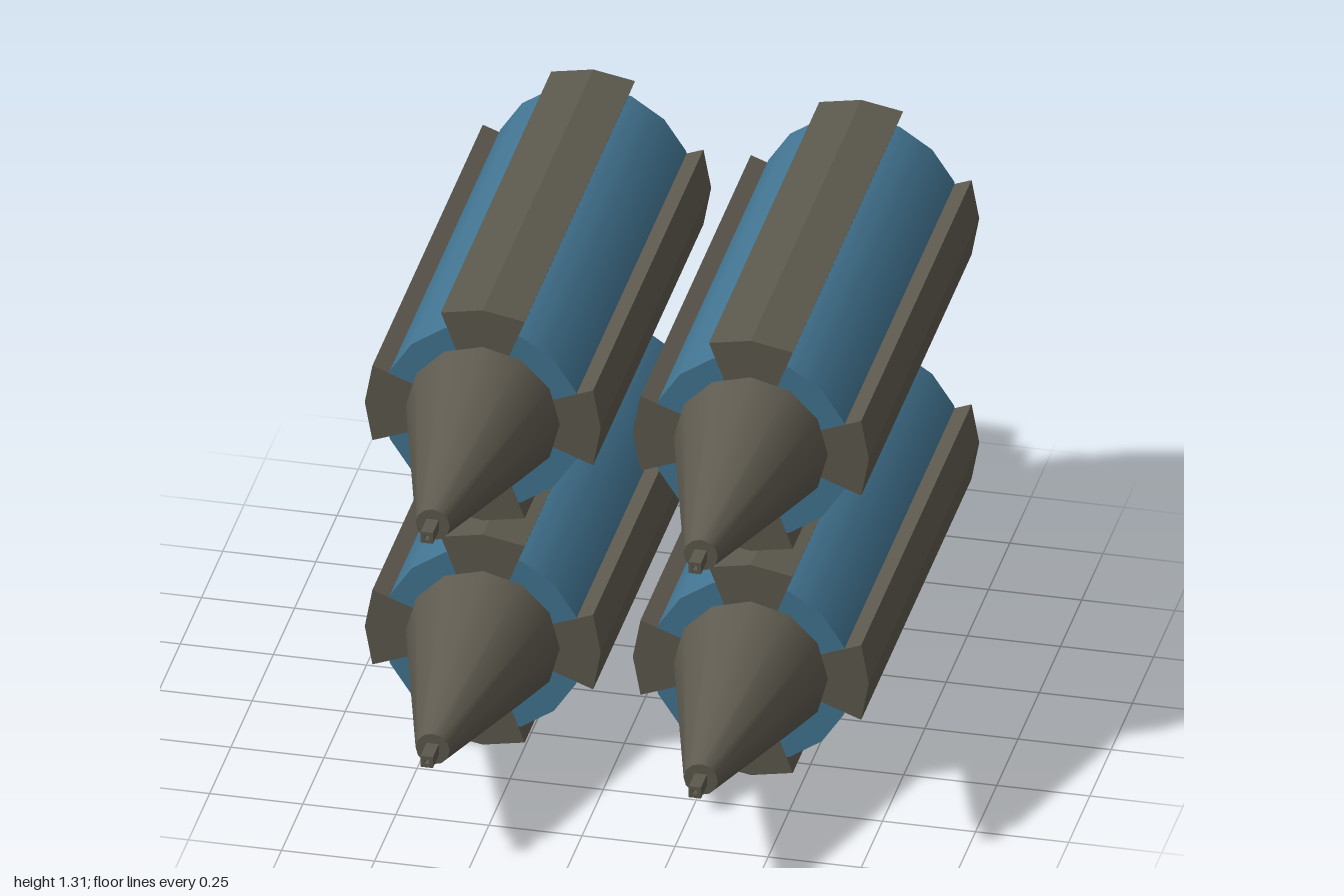
import * as THREE from 'three';

const grey = new THREE.MeshStandardMaterial({ color: 0x5c584d });
grey.name = 'gunmetal';
const blue = new THREE.MeshStandardMaterial({ color: 0x427491 });
blue.name = 'steel blue';

const FRONT = 0.34, BACK = -0.96, LENGTH = FRONT - BACK;

function part(name, geometry, material) {
  const mesh = new THREE.Mesh(geometry, material);
  mesh.name = name;
  return mesh;
}

// Cylinder lying along z from z0 (radius r0) to z1 (radius r1)
function tube(r0, r1, z0, z1, sides) {
  return new THREE.CylinderGeometry(r1, r0, z1 - z0, sides)
    .rotateX(Math.PI / 2)
    .translate(0, 0, (z0 + z1) / 2);
}

// Faceted rib cross-section: a ring sector bent at its middle
function ribGeometry() {
  const half = 0.363, inner = 0.2, outer = 0.317;
  const at = (r, a) => new THREE.Vector2(r * Math.sin(a), r * Math.cos(a));
  const shape = new THREE.Shape([
    at(inner, -half), at(inner, half), at(outer, half), at(outer, 0), at(outer, -half),
  ]);
  return new THREE.ExtrudeGeometry(shape, { depth: LENGTH, bevelEnabled: false })
    .translate(0, 0, BACK);
}

// Square nozzle with a small square bore
function tipGeometry() {
  const square = (s) => [[-s, -s], [s, -s], [s, s], [-s, s]].map(([x, y]) => new THREE.Vector2(x, y));
  const shape = new THREE.Shape(square(0.0165));
  shape.holes.push(new THREE.Path(square(0.006).reverse()));
  return new THREE.ExtrudeGeometry(shape, { depth: 0.07, bevelEnabled: false })
    .translate(0, 0, 0.93);
}

function createPod(geo) {
  const pod = new THREE.Group();
  pod.add(part('body', geo.body, blue));
  pod.add(part('noseCone', geo.cone, grey));
  pod.add(part('tip', geo.tip, grey));
  pod.add(part('rearCap', geo.cap, grey));
  for (let i = 0; i < 4; i++) {
    const rib = part('rib', geo.rib, grey);
    rib.rotation.z = i * Math.PI / 2;
    pod.add(rib);
  }
  return pod;
}

export function createModel() {
  const model = new THREE.Group();
  model.name = 'podCluster';
  const geo = {
    body: tube(0.27, 0.27, BACK + 0.0005, FRONT - 0.0005, 16),
    cone: tube(0.207, 0.046, FRONT, 0.93, 12),
    cap: tube(0.208, 0.208, -1, BACK, 16),
    rib: ribGeometry(),
    tip: tipGeometry(),
  };

  // Two by two arrangement
  for (const [side, x] of [['left', 0.36], ['right', -0.36]]) {
    for (const [level, y] of [['Lower', 0.32], ['Upper', 0.997]]) {
      const pod = createPod(geo);
      pod.name = side + level + 'Pod';
      pod.position.set(x, y, 0);
      model.add(pod);
    }
  }
  return model;
}
